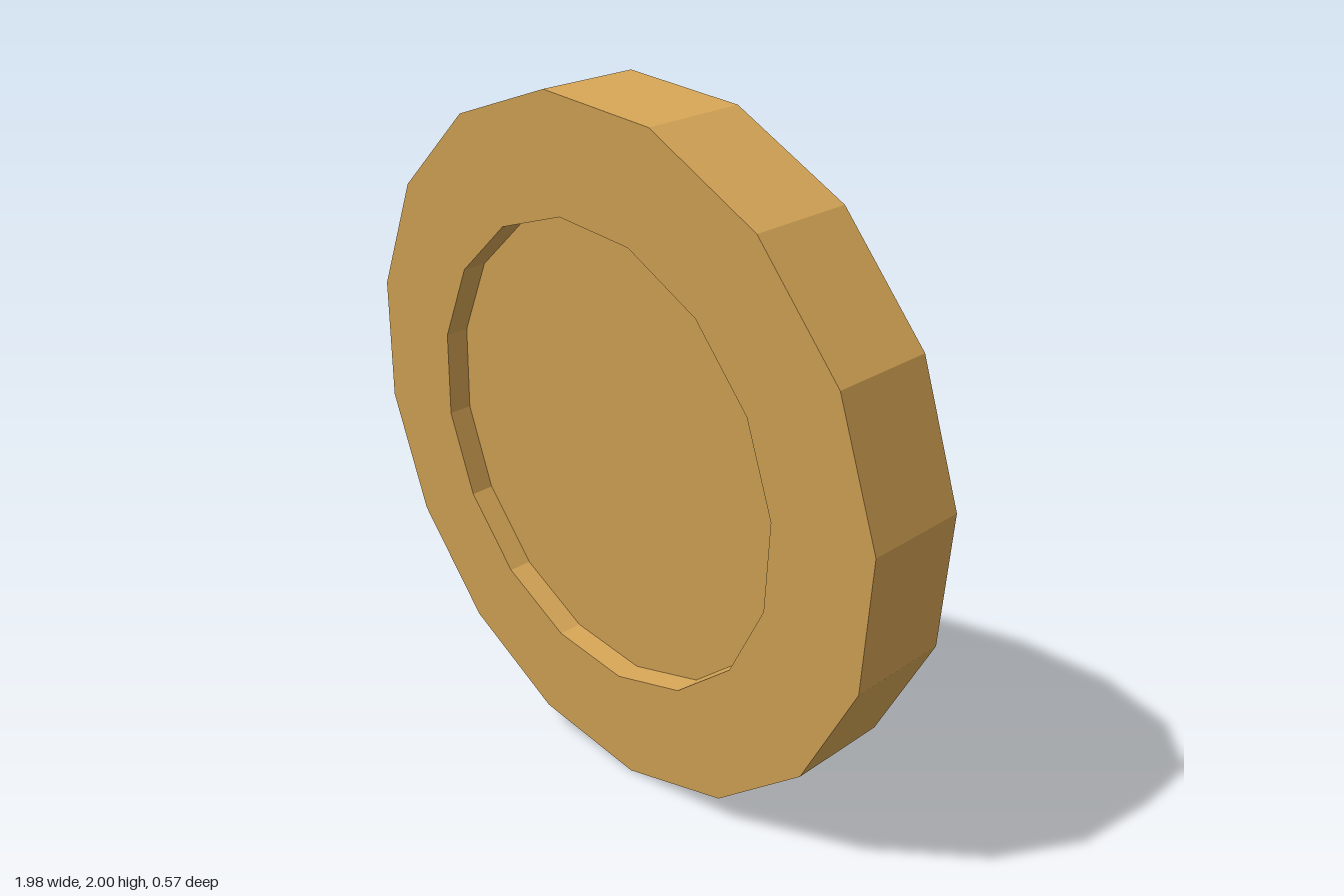
import * as THREE from 'three';

export function createModel() {
  const outer = 0.988, inner = 0.669, half = 0.144, recess = 0.07, tilt = 0.1447;
  const group = new THREE.Group();
  group.name = 'coin';

  // Disc section from the back floor, around the raised rim, to the front floor
  const profile = [
    [0, -half + recess], [inner, -half + recess], [inner, -half], [outer, -half],
    [outer, half], [inner, half], [inner, half - recess], [0, half - recess],
  ].map(([r, h]) => new THREE.Vector2(r, h));

  // Stand the disc upright, then lean its top forward
  const geometry = new THREE.LatheGeometry(profile, 16);
  geometry.rotateX(Math.PI / 2 + tilt);
  geometry.computeBoundingBox();
  geometry.translate(0, -geometry.boundingBox.min.y, 0);

  const gold = new THREE.MeshStandardMaterial({ color: 0xd4a455, flatShading: true });
  const disc = new THREE.Mesh(geometry, gold);
  disc.name = 'recessedDisc';
  group.add(disc);
  return group;
}
